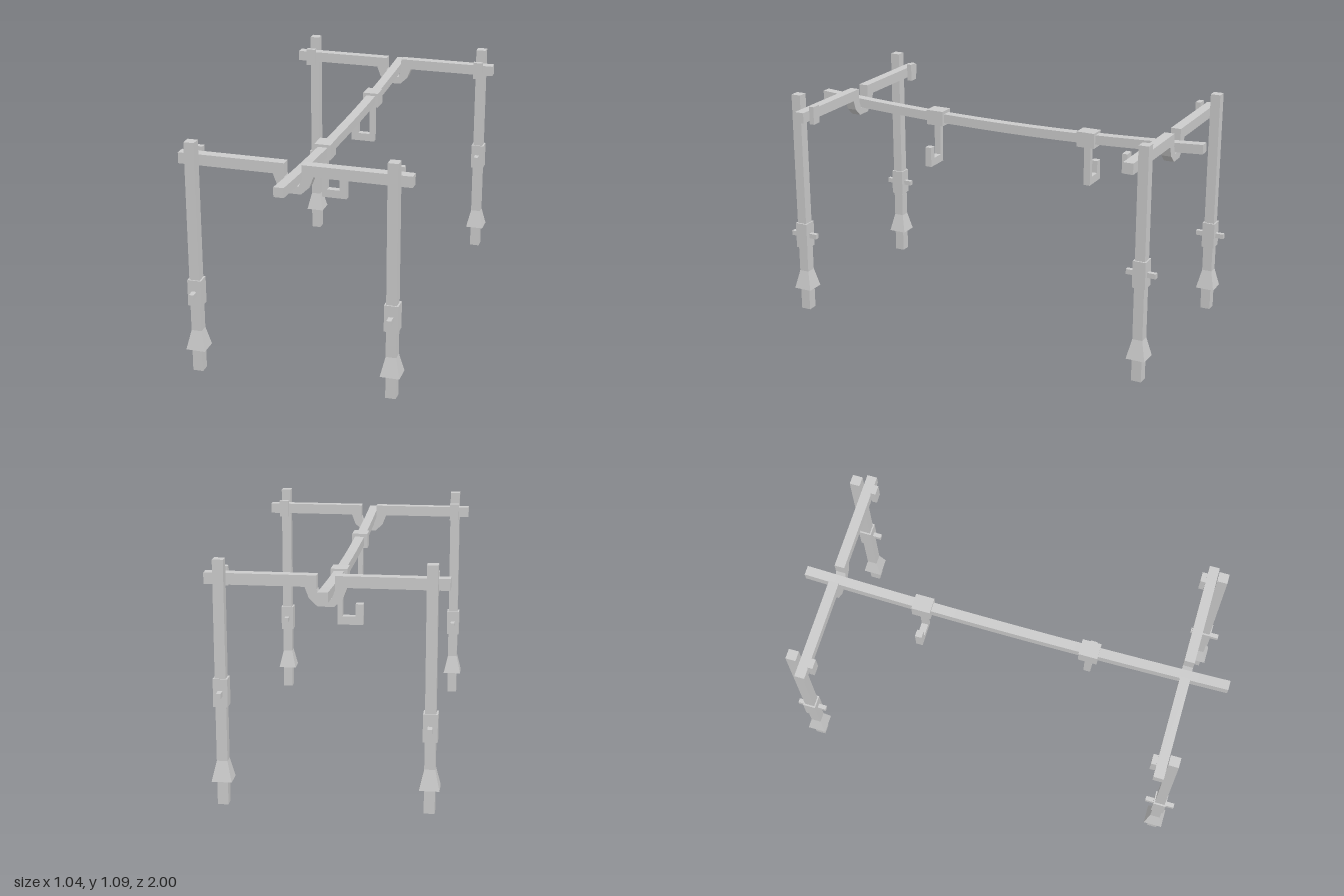
import * as THREE from 'three';

const mat = new THREE.MeshStandardMaterial({ color: 0xcccccc, flatShading: true });

function add(parent, name, geometry, x = 0, y = 0, z = 0) {
  const mesh = new THREE.Mesh(geometry, mat);
  mesh.name = name;
  mesh.position.set(x, y, z);
  parent.add(mesh);
  return mesh;
}
const box = (w, h, d) => new THREE.BoxGeometry(w, h, d);

// Extrude a flat outline, centred in depth
function plate(points, depth) {
  const shape = new THREE.Shape(points.map(([x, y]) => new THREE.Vector2(x, y)));
  const g = new THREE.ExtrudeGeometry(shape, { depth, bevelEnabled: false });
  return g.translate(0, 0, -depth / 2);
}

// Square post with flared foot, height sleeve and locking pin
function makeLeg(name, x, z, sleeveY) {
  const leg = new THREE.Group();
  leg.name = name;
  leg.position.set(x, 0, z);
  add(leg, 'post', box(0.047, 1.087, 0.047), 0, 0.5435, 0);
  const flare = new THREE.CylinderGeometry(0.047 / Math.SQRT2, 0.088 / Math.SQRT2, 0.09, 4);
  add(leg, 'footFlare', flare.rotateY(Math.PI / 4), 0, 0.155, 0);
  add(leg, 'sleeve', box(0.063, 0.124, 0.06), 0, sleeveY, 0);
  add(leg, 'lockingPin', box(0.021, 0.023, 0.138), 0, sleeveY - 0.002, 0);
  return leg;
}

// Crossbar whose middle dips into a cradle for the ridge beam
function makeCrossbar() {
  const half = [[0.52, 1.02], [0.52, 0.97], [0.09, 0.97], [0.072, 0.922], [0.035, 0.887]];
  const inner = [[0.025, 0.922], [0.039, 0.96], [0.039, 1.02]];
  const mirror = (pts) => pts.map(([x, y]) => [-x, y]).reverse();
  return plate([...half, ...mirror(half), ...mirror(inner), ...inner], 0.047);
}

// Collar around the beam with a J-shaped hook hanging to one side
function makeHanger(name, z, side) {
  const hanger = new THREE.Group();
  hanger.name = name;
  hanger.position.set(-0.005, 0, z);
  add(hanger, 'collar', box(0.075, 0.072, 0.088), 0, 0.926, 0);
  const outline = [[-0.012, 0.9], [-0.012, 0.7], [0.105, 0.7], [0.105, 0.796],
    [0.071, 0.796], [0.071, 0.738], [0.012, 0.738], [0.012, 0.9]];
  const pts = outline.map(([x, y]) => [x * side, y]);
  add(hanger, 'hook', plate(pts, 0.032));
  return hanger;
}

export function createModel() {
  const model = new THREE.Group();
  model.name = 'trestleFrame';

  // End frames: legs outside, crossbar and clamp plates inside
  const ends = [
    { label: 'front', dir: 1, legZ: 0.849, sleeves: { left: 0.385, right: 0.385 } },
    { label: 'back', dir: -1, legZ: -0.897, sleeves: { left: 0.508, right: 0.385 } },
  ];
  for (const { label, dir, legZ, sleeves } of ends) {
    add(model, label + 'Crossbar', makeCrossbar(), 0, 0, legZ - dir * 0.048);
    for (const [side, sx] of [['Left', 1], ['Right', -1]]) {
      const x = sx * 0.448;
      model.add(makeLeg(label + side + 'Leg', x, legZ, sleeves[side.toLowerCase()]));
      add(model, label + side + 'ClampPlate', box(0.046, 0.085, 0.024), x, 0.997, legZ - dir * 0.084);
    }
  }

  // Sagging ridge beam
  const beam = new THREE.BoxGeometry(0.045, 0.044, 2, 1, 1, 14);
  const p = beam.attributes.position;
  for (let i = 0; i < p.count; i++) p.setY(i, p.getY(i) + 0.036 * p.getZ(i) ** 2);
  beam.computeVertexNormals();
  add(model, 'ridgeBeam', beam, -0.004, 0.9215, 0);

  model.add(makeHanger('frontHanger', 0.355, 1));
  model.add(makeHanger('backHanger', -0.438, -1));
  return model;
}
